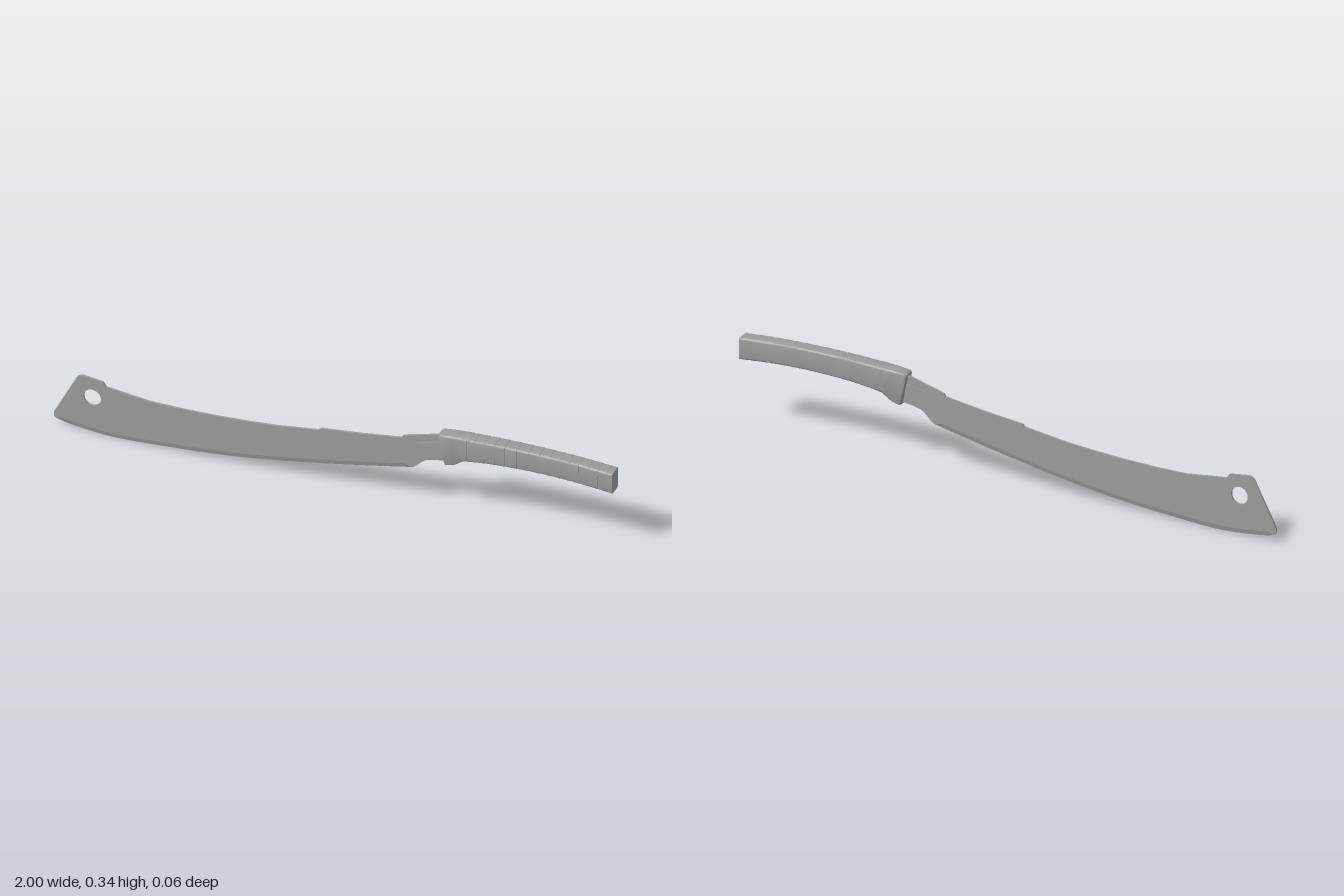
import * as THREE from 'three';
import { toCreasedNormals } from 'three/addons/utils/BufferGeometryUtils.js';

const material = new THREE.MeshStandardMaterial({ color: 0x9b9b9b });
const vectors = (list) => list.map(([x, y]) => new THREE.Vector2(x, y));
const HALF = 0.004; // half thickness of the blade

function addMesh(group, name, geometry) {
  const mesh = new THREE.Mesh(geometry, material);
  mesh.name = name;
  group.add(mesh);
}

// Joins equal rings of points into a closed solid, with flat ends.
// Rings follow each other along +x and run from the top down the +z side.
function loft(rings, crease) {
  const n = rings[0].length;
  const index = [];
  for (let r = 0; r < rings.length - 1; r++) {
    for (let i = 0; i < n; i++) {
      const a = r * n + i, b = r * n + (i + 1) % n;
      index.push(a, b, a + n, b, b + n, a + n);
    }
  }
  const last = (rings.length - 1) * n;
  for (let i = 1; i < n - 1; i++) {
    index.push(0, i + 1, i, last, last + i, last + i + 1);
  }
  const geometry = new THREE.BufferGeometry();
  geometry.setAttribute('position', new THREE.Float32BufferAttribute(rings.flat(2), 3));
  geometry.setIndex(index);
  return toCreasedNormals(geometry, crease);
}

// Rounded rectangle in the y-z plane; slant leans it, foot narrows its bottom.
function handleRing(x, top, bottom, half, foot = 1, slant = 0, radius = 0.007) {
  const ring = [];
  const corners = [[1, 1], [-1, 1], [-1, -1], [1, -1]]; // z sign, y sign
  const mid = (top + bottom) / 2, tall = (top - bottom) / 2;
  corners.forEach(([sz, sy], c) => {
    for (let k = 0; k <= 4; k++) {
      const angle = (c + k / 4) * Math.PI / 2;
      const z = sz * (half - radius) + radius * Math.cos(angle);
      const v = sy * (tall - radius) + radius * Math.sin(angle);
      const down = (tall - v) / (2 * tall);
      ring.push([x + slant * down, mid + v, z * (1 + (foot - 1) * down)]);
    }
  });
  return ring.reverse();
}

export function createModel() {
  const model = new THREE.Group();
  model.name = 'longKnife';

  // Sharp edge along the belly of the blade; its bevel fades at both ends
  const edge = new THREE.SplineCurve(vectors([
    [-0.988, 0.022], [-0.94, 0.012], [-0.79, 0], [-0.58, 0.012], [-0.39, 0.03],
    [-0.2, 0.058], [0, 0.095], [0.17, 0.13], [0.275, 0.153],
  ])).getPoints(48);
  const shoulder = edge.map((p, i) => (
    new THREE.Vector2(p.x, p.y + 0.001 + 0.015 * Math.min(1, i / 3, (48 - i) / 2))
  ));

  // Blade plate with spine steps, hooked tip and tang
  const outline = new THREE.Shape([
    ...shoulder,
    ...vectors([
      [0.288, 0.161], [0.315, 0.187], [0.33, 0.198], [0.36, 0.205], [0.42, 0.215],
      [0.42, 0.312], [0.38, 0.31],
      [0.245, 0.272], [0.24, 0.262], [0.1, 0.241], [-0.05, 0.224], [-0.056, 0.216],
      [-0.2, 0.195], [-0.31, 0.185], [-0.42, 0.178], [-0.54, 0.174], [-0.66, 0.174],
      [-0.815, 0.192], [-0.825, 0.208], [-0.895, 0.217], [-0.908, 0.215], [-0.917, 0.208],
      [-0.998, 0.052], [-1, 0.04], [-0.997, 0.029],
    ]),
  ]);
  const hole = new THREE.Path();
  hole.absarc(-0.863, 0.139, 0.031, 0, Math.PI * 2, true);
  outline.holes.push(hole);
  const plate = new THREE.ExtrudeGeometry(outline, { depth: HALF * 2, bevelEnabled: false, curveSegments: 20 });
  plate.translate(0, 0, -HALF);
  addMesh(model, 'blade', toCreasedNormals(plate, 0.5));

  addMesh(model, 'cuttingEdge', loft(edge.map((p, i) => [
    [p.x, p.y, 0], [p.x, shoulder[i].y, -HALF], [p.x, shoulder[i].y, HALF],
  ]), 0.4));

  // Low tapering rib on both sides of the tang
  const ribSections = [ // x, top, bottom, half width
    [0.285, 0.256, 0.25, 0.003], [0.32, 0.266, 0.242, 0.007],
    [0.35, 0.274, 0.238, 0.0075], [0.41, 0.284, 0.238, 0.005],
  ];
  addMesh(model, 'tangRib', loft(ribSections.map(([x, top, low, half]) => [
    [x, top, half], [x, low, half], [x, low, -half], [x, top, -half],
  ]), 0.4));

  // Flared collar, leaning at the blade side
  addMesh(model, 'collar', loft([
    handleRing(0.376, 0.317, 0.209, 0.021, 0.88, 0.022),
    handleRing(0.382, 0.321, 0.203, 0.0245, 0.88, 0.02),
    handleRing(0.42, 0.325, 0.212, 0.0265, 0.9, 0.012),
    handleRing(0.468, 0.3285, 0.238, 0.0275, 0.97),
    handleRing(0.49, 0.3295, 0.241, 0.0275, 0.97),
  ], 0.6));

  // Curved grip with shallow steps that face the butt
  const topLine = new THREE.SplineCurve(vectors([[0.46, 0.326], [0.58, 0.332], [0.74, 0.334], [0.88, 0.3305], [1, 0.323]]));
  const lowLine = new THREE.SplineCurve(vectors([[0.46, 0.238], [0.58, 0.253], [0.74, 0.26], [0.88, 0.256], [1, 0.246]]));
  const rings = [];
  const steps = 16;
  const gripRing = (t, swell) => {
    const top = topLine.getPoint(t), low = lowLine.getPoint(t);
    const half = 0.0275 - 0.0015 * t + swell;
    return handleRing(top.x, top.y + swell, low.y - swell * 0.5, half, 0.98);
  };
  for (let i = 0; i < steps; i++) {
    rings.push(gripRing(i / steps, 0), gripRing((i + 0.99) / steps, 0.001));
  }
  rings.push(handleRing(1, 0.322, 0.2465, 0.025, 0.98));
  addMesh(model, 'grip', loft(rings, 0.5));

  return model;
}
